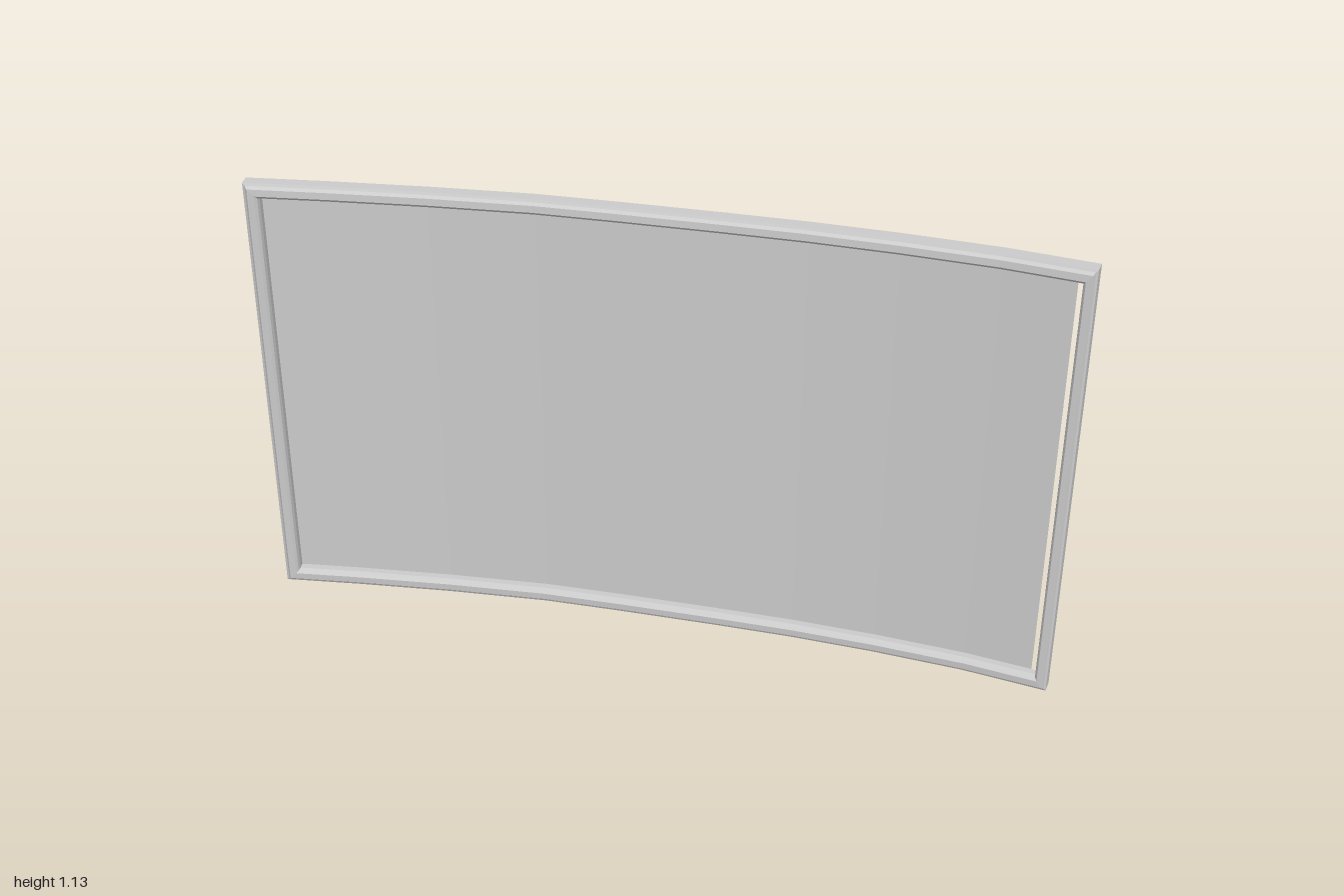
import * as THREE from 'three';

const H = 1.133;
// Plan curve of the frame's back edge, as x and z
const XS = [-1, -0.8, -0.56, -0.3, -0.1, 0.15, 0.35, 0.56, 0.79, 1];
const ZS = [0.018, -0.009, -0.036, -0.057, -0.06, -0.06, -0.057, -0.046, -0.025, 0.009];

// Point on the curved sheet, pushed forward along its normal
function place(x, y, forward) {
  let i = 0;
  while (i < XS.length - 2 && x > XS[i + 1]) i++;
  const slope = (ZS[i + 1] - ZS[i]) / (XS[i + 1] - XS[i]);
  const z = ZS[i] + slope * (x - XS[i]);
  // smooth slope, so that the offset varies evenly along the curve
  const s = 0.15 * (x - 0.04);
  const n = Math.hypot(1, s);
  return [x - (s * forward) / n, y, z + forward / n];
}

// Skin consecutive rows of points with quads
function skin(rows, closed, material) {
  const pos = rows.flat(2), index = [], n = rows[0].length;
  for (let r = 0; r < rows.length - 1; r++) {
    for (let c = 0; c < (closed ? n : n - 1); c++) {
      const a = r * n + c, b = r * n + ((c + 1) % n);
      index.push(a, b, b + n, a, b + n, a + n);
    }
  }
  const g = new THREE.BufferGeometry();
  g.setAttribute('position', new THREE.Float32BufferAttribute(pos, 3));
  g.setIndex(index);
  const flat = g.toNonIndexed();
  flat.computeVertexNormals();
  return new THREE.Mesh(flat, material);
}

export function createModel() {
  const group = new THREE.Group();
  group.name = 'curvedScreen';
  const material = new THREE.MeshStandardMaterial({
    color: 0xcccccc, side: THREE.DoubleSide, flatShading: true,
  });

  // Frame moulding, open at the back: inset from the outer edge, forward offset
  const profile = [
    [0, 0], [0, 0.033], [0.006, 0.036], [0.012, 0.044],
    [0.029, 0.045], [0.035, 0.04], [0.038, 0.03], [0.038, 0.012],
  ];
  const rings = profile.map(([d, f]) => {
    // the right-hand upright is a little slimmer and leaves a slit beside the panel
    const xs = XS.map(x => Math.min(1 - d * 0.78, Math.max(-1 + d, x)));
    return [
      ...xs.map(x => place(x, d, f)),
      ...xs.slice().reverse().map(x => place(x, H - d, f)),
    ];
  });
  const frame = skin(rings, true, material);
  frame.name = 'frame';
  group.add(frame);

  // Thin curved screen panel set back inside the frame
  const px = XS.map(x => Math.min(0.957, Math.max(-0.963, x)));
  const panel = skin([0.036, H - 0.036].map(y => px.map(x => place(x, y, 0.012))), false, material);
  panel.name = 'screenPanel';
  group.add(panel);

  return group;
}
